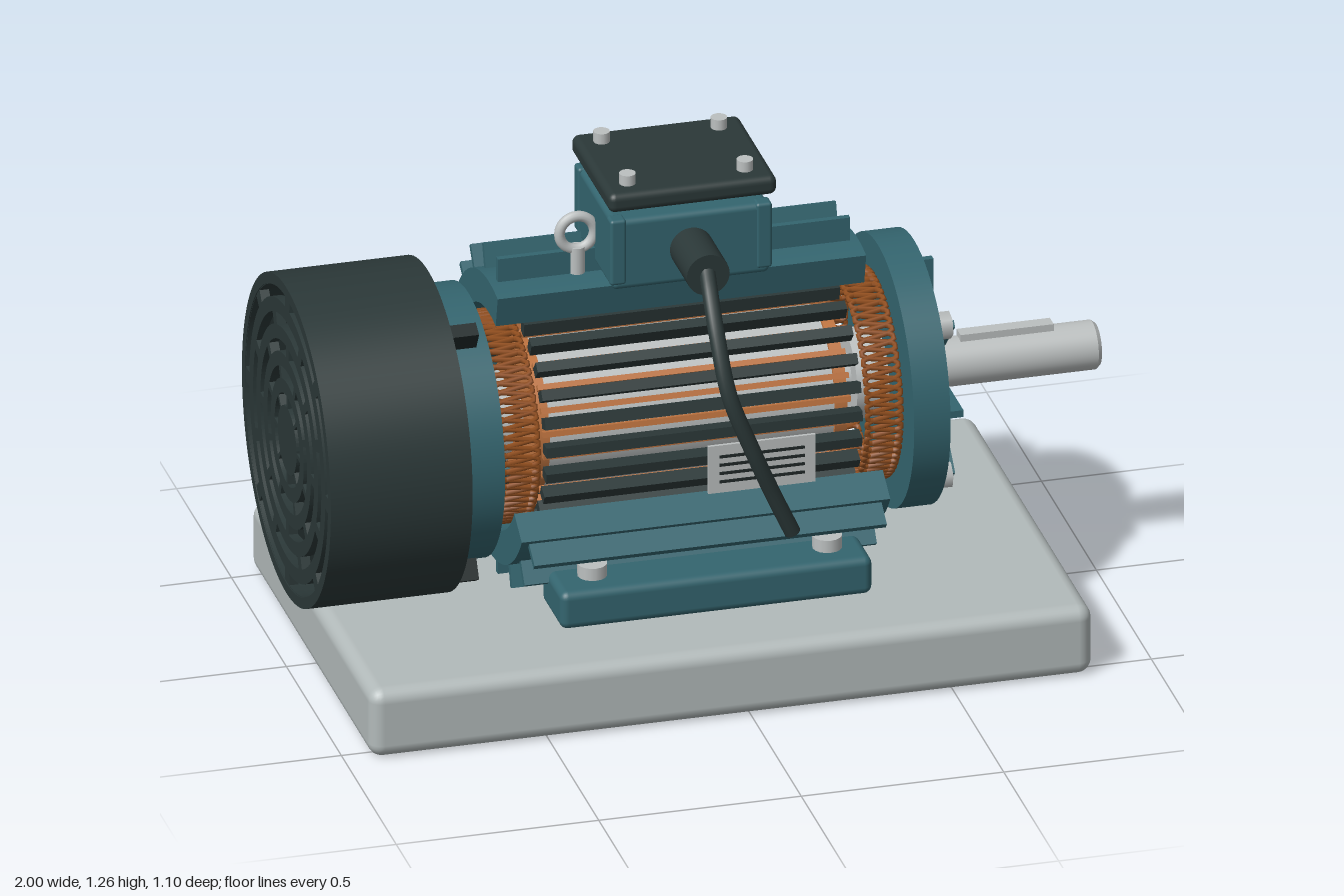
import * as THREE from 'three';
import { toCreasedNormals } from 'three/addons/utils/BufferGeometryUtils.js';
import { RoundedBoxGeometry } from 'three/addons/geometries/RoundedBoxGeometry.js';

const mat = (name, color) => Object.assign(new THREE.MeshStandardMaterial({ color }), { name });
const AXIS_Y = 0.6;
const rad = THREE.MathUtils.degToRad;

export function createModel() {
  const teal = mat('teal paint', 0x34656f);
  const dark = mat('dark plastic', 0x2b3838);
  const black = mat('black rubber', 0x1f2828);
  const steel = mat('steel', 0xbcc0c0);
  const stone = mat('base grey', 0xb2baba);
  const copper = mat('copper', 0xbf7440);
  const winding = mat('winding copper', 0x94501f);

  const root = new THREE.Group();
  const motor = new THREE.Group();
  motor.name = 'motor';
  motor.position.y = AXIS_Y;
  root.add(motor);

  const add = (parent, name, geo, material, x = 0, y = 0, z = 0) => {
    const m = new THREE.Mesh(geo, material);
    m.name = name;
    m.position.set(x, y, z);
    parent.add(m);
    return m;
  };
  // cylinder lying along the motor axis
  const cylX = (parent, name, r, x0, x1, material, y = 0, z = 0, sides = 48) => {
    const m = add(parent, name, new THREE.CylinderGeometry(r, r, x1 - x0, sides), material, (x0 + x1) / 2, y, z);
    m.rotation.z = Math.PI / 2;
    return m;
  };
  const cylY = (name, r, y0, y1, x, z, material, sides = 16) =>
    add(root, name, new THREE.CylinderGeometry(r, r, y1 - y0, sides), material, x, (y0 + y1) / 2, z);
  const rounded = (name, x0, x1, y0, y1, z0, z1, r, material) =>
    add(root, name, new RoundedBoxGeometry(x1 - x0, y1 - y0, z1 - z0, 3, r), material,
      (x0 + x1) / 2, (y0 + y1) / 2, (z0 + z1) / 2);
  // flat section swept along the motor axis
  const sweepX = (name, shape, x0, x1, material) => {
    const geo = new THREE.ExtrudeGeometry(shape, { depth: x1 - x0, bevelEnabled: false, curveSegments: 48 });
    const m = add(motor, name, toCreasedNormals(geo, 0.5), material, x0);
    m.rotation.y = Math.PI / 2;
    return m;
  };
  const arcBand = (Kind, r0, r1, a0, a1) => {
    const s = new Kind();
    s.absarc(0, 0, r1, a0, a1, false);
    s.absarc(0, 0, r0, a1, a0, true);
    s.closePath();
    return s;
  };
  const annulus = (r0, r1) => {
    const s = new THREE.Shape().absarc(0, 0, r1, 0, Math.PI * 2, false);
    s.holes.push(new THREE.Path().absarc(0, 0, r0, 0, Math.PI * 2, true));
    return s;
  };
  // group turned about the axis; its +z points outward, 0 = front, 90 = up
  const radial = (name, deg) => {
    const g = new THREE.Group();
    g.name = name;
    g.rotation.x = -rad(deg);
    motor.add(g);
    return g;
  };

  // base slab, feet and foot bolts
  rounded('base', -0.94, 0.845, 0, 0.18, -0.55, 0.55, 0.035, stone);
  for (const s of [-1, 1]) {
    rounded('foot', -0.42, 0.35, 0.19, 0.288, s * 0.275 - 0.09, s * 0.275 + 0.09, 0.02, teal);
    for (const x of [-0.32, 0.26]) cylY('footBolt', 0.036, 0.28, 0.32, x, s * 0.277, steel);
  }

  // housing with the front cut open, and cooling fins
  sweepX('housing', arcBand(THREE.Shape, 0.275, 0.357, rad(213), rad(463)), -0.5, 0.41, teal);
  for (let i = 0; i < 20; i++) {
    const a = i * 18;
    if (a < 77 || a > 327) continue;
    add(radial('fin', a), 'finBlade', new THREE.BoxGeometry(0.87, 0.016, 0.07), teal, -0.045, 0, 0.382);
  }

  // stator bars and slot copper
  for (let i = 0; i < 24; i++) {
    add(radial('statorTooth', i * 15 + 4), 'statorBar', new THREE.BoxGeometry(0.78, 0.026, 0.035), dark, -0.04, 0, 0.253);
    add(radial('slotCoil', i * 15 + 11), 'slotCopper', new THREE.BoxGeometry(0.76, 0.014, 0.014), copper, -0.045, 0, 0.215);
  }
  // woven end windings
  const weave = (x0, x1, phase) => {
    const pts = [];
    const n = 144;
    for (let i = 0; i < n; i++) {
      const a = (i / n) * Math.PI * 2;
      const w = Math.sin(a * 24 + phase);
      pts.push(new THREE.Vector3((x0 + x1) / 2 + w * (x1 - x0) / 2, 0.252 * Math.sin(a), 0.252 * Math.cos(a)));
    }
    return new THREE.TubeGeometry(new THREE.CatmullRomCurve3(pts, true), 432, 0.007, 5, true);
  };
  for (const [x0, x1] of [[-0.545, -0.44], [0.36, 0.455]])
    for (let k = 0; k < 3; k++) add(motor, 'endWinding', weave(x0, x1, k * Math.PI * 2 / 3), winding);

  // rotor, end rings, bearings, shaft and key
  cylX(motor, 'rotor', 0.18, -0.4, 0.31, steel);
  for (const x of [-0.43, 0.305]) cylX(motor, 'rotorEndRing', 0.188, x, x + 0.03, copper);
  for (const x of [-0.56, 0.38]) cylX(motor, 'bearing', 0.11, x, x + 0.09, steel);
  cylX(motor, 'shaft', 0.06, -0.86, 0.99, steel);
  const tip = add(motor, 'shaftTip', new THREE.CylinderGeometry(0.052, 0.06, 0.01, 48), steel, 0.995);
  tip.rotation.z = -Math.PI / 2;
  add(motor, 'shaftKey', new THREE.BoxGeometry(0.23, 0.04, 0.036), steel, 0.775, 0.055, 0);

  // end shields, ribs and shield bolts
  cylX(motor, 'frontShield', 0.333, 0.46, 0.55, teal, 0, 0, 64);
  cylX(motor, 'rearShield', 0.333, -0.64, -0.55, teal, 0, 0, 64);
  for (let i = 0; i < 8; i++) {
    const g = radial('shieldRib', i * 45);
    add(g, 'rib', new THREE.BoxGeometry(0.055, 0.018, 0.13), teal, 0.568, 0, 0.217);
    if (i % 2) cylX(g, 'shieldBolt', 0.034, 0.545, 0.585, steel, 0, 0.279, 6);
  }
  cylX(motor, 'bearingCap', 0.125, 0.54, 0.558, steel);
  sweepX('sealHousing', annulus(0.078, 0.118), 0.55, 0.585, black);
  const seal = add(motor, 'shaftSeal', new THREE.TorusGeometry(0.098, 0.021, 12, 48), black, 0.579);
  seal.rotation.y = Math.PI / 2;

  // fan
  cylX(motor, 'fanHub', 0.1, -0.84, -0.72, steel);
  for (let i = 0; i < 10; i++) {
    const b = add(radial('fanBlade', i * 36 + 5), 'blade', new THREE.BoxGeometry(0.12, 0.014, 0.25), steel, -0.77, 0, 0.217);
    b.rotation.z = 0.7;
  }

  // fan cover with slotted grille
  sweepX('fanCover', annulus(0.378, 0.405), -1, -0.65, dark);
  const grille = new THREE.Shape().absarc(0, 0, 0.4, 0, Math.PI * 2, false);
  [0.085, 0.15, 0.215, 0.28, 0.346].forEach((r, row) => {
    for (let i = 0; i < 8; i++) {
      const a = i * 45 + (row % 2) * 22.5;
      grille.holes.push(arcBand(THREE.Path, r, r + 0.03, rad(a + 3), rad(a + 42)));
    }
  });
  sweepX('grille', grille, -0.998, -0.975, dark);
  cylX(motor, 'grilleBacking', 0.346, -0.972, -0.96, black);
  for (const a of [60, 180, 300])
    add(radial('coverBracket', a), 'bracket', new THREE.BoxGeometry(0.075, 0.036, 0.06), black, -0.618, 0, 0.355);

  // terminal box with corner posts, raised lid, terminals
  rounded('terminalBox', -0.24, 0.15, 0.975, 1.16, -0.165, 0.165, 0.015, teal);
  for (const x of [-0.225, 0.135])
    for (const z of [-0.148, 0.148])
      rounded('boxCorner', x - 0.02, x + 0.02, 0.99, 1.162, z - 0.02, z + 0.02, 0.008, teal);
  rounded('boxLid', -0.25, 0.165, 1.185, 1.235, -0.178, 0.178, 0.018, dark);
  for (const z of [-0.063, 0.063])
    for (const x of [-0.155, -0.045, 0.065]) cylY('terminal', 0.018, 1.15, 1.19, x, z, copper);
  for (const z of [-0.118, 0.118])
    for (const x of [-0.19, 0.1]) cylY('lidScrew', 0.02, 1.23, 1.262, x, z, steel);

  // cable gland and hanging cable
  const gland = add(root, 'cableGland', new THREE.CylinderGeometry(0.053, 0.053, 0.16, 24), dark, -0.045, 1.067, 0.24);
  gland.rotation.x = Math.PI / 2;
  const path = new THREE.CatmullRomCurve3([
    [-0.045, 1.07, 0.31], [-0.05, 1.03, 0.36], [-0.05, 0.95, 0.42], [-0.035, 0.82, 0.472],
    [0.02, 0.67, 0.482], [0.075, 0.54, 0.47], [0.125, 0.43, 0.46],
  ].map((p) => new THREE.Vector3(...p)));
  add(root, 'cable', new THREE.TubeGeometry(path, 48, 0.02, 12), dark);
  const end = add(root, 'cableEnd', new THREE.CircleGeometry(0.02, 12), dark, 0.125, 0.43, 0.46);
  end.quaternion.setFromUnitVectors(new THREE.Vector3(0, 0, 1), path.getTangent(1));

  // lifting eye
  add(root, 'liftingEye', new THREE.TorusGeometry(0.043, 0.013, 12, 32), steel, -0.283, 1.06, 0);
  cylY('liftingEyeStem', 0.02, 0.94, 1.025, -0.283, 0, steel);

  // rating plate with plain engraved bars
  const plate = new THREE.Group();
  plate.name = 'ratingPlate';
  plate.position.set(0.075, 0.572, 0.362);
  root.add(plate);
  add(plate, 'plate', new THREE.BoxGeometry(0.265, 0.125, 0.008), steel);
  for (let i = 0; i < 4; i++)
    add(plate, 'plateBar', new THREE.BoxGeometry(0.21, 0.007, 0.004), black, 0, 0.033 - i * 0.022, 0.005);

  return root;
}
